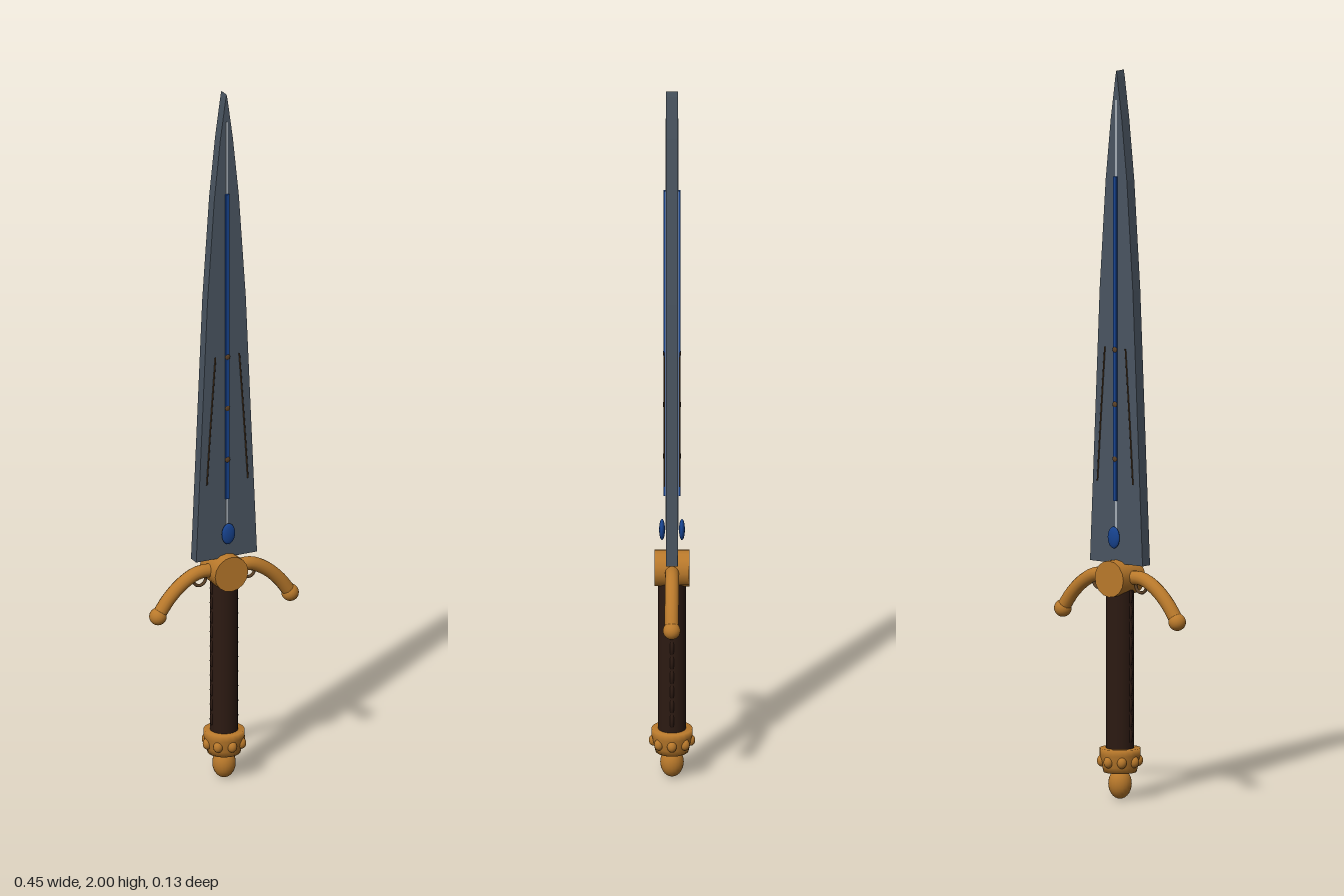
import * as THREE from 'three';

const material = (color) => new THREE.MeshStandardMaterial({ color });
const steel = material(0x4a5561), silver = material(0xa4adb5), gold = material(0xb9792b);
const bronze = material(0x5c4228), leather = material(0x2c1a12), blue = material(0x17438f);

export function createModel() {
  const model = new THREE.Group();

  const add = (name, geometry, mat, x = 0, y = 0, z = 0, parent = model) => {
    const mesh = new THREE.Mesh(geometry, mat);
    mesh.name = name;
    mesh.position.set(x, y, z);
    parent.add(mesh);
    return mesh;
  };
  const ellipsoid = (rx, ry, rz) => new THREE.SphereGeometry(1, 20, 14).scale(rx, ry, rz);

  // Flat blade tapering to a point
  const half = [[0.092, 0.648], [0.076, 1.0], [0.058, 1.4], [0.037, 1.7], [0.019, 1.87], [0.003, 1.985]];
  const outline = [
    ...half.map(([x, y]) => new THREE.Vector2(x, y)),
    new THREE.Vector2(0, 2),
    ...half.slice().reverse().map(([x, y]) => new THREE.Vector2(-x, y)),
  ];
  const bladeGeometry = new THREE.ExtrudeGeometry(new THREE.Shape(outline), { depth: 0.032, bevelEnabled: false });
  add('blade', bladeGeometry.translate(0, 0, -0.016), steel);
  add('bladeRidge', new THREE.BoxGeometry(0.006, 1.2, 0.035), silver, 0, 1.32);

  // Decoration on both faces of the blade
  for (const side of [1, -1]) {
    const face = new THREE.Group();
    face.name = side > 0 ? 'frontBladeDecoration' : 'backBladeDecoration';
    model.add(face);
    add('fullerInlay', new THREE.BoxGeometry(0.011, 0.89, 0.006), blue, 0, 1.265, side * 0.02, face);
    add('bladeGem', ellipsoid(0.02, 0.03, 0.008), blue, 0, 0.72, side * 0.027, face);
    for (const y of [0.935, 1.085, 1.235]) {
      add('inlayStud', ellipsoid(0.008, 0.008, 0.003), bronze, 0, y, side * 0.022, face);
    }
    for (const s of [1, -1]) {
      const line = new THREE.CatmullRomCurve3([
        new THREE.Vector3(s * 0.062, 0.87, side * 0.021),
        new THREE.Vector3(s * 0.05, 1.05, side * 0.021),
        new THREE.Vector3(s * 0.036, 1.24, side * 0.021),
      ]);
      add('engravedLine', new THREE.TubeGeometry(line, 16, 0.002, 6), bronze, 0, 0, 0, face);
    }
  }

  // Guard: round hub, two drooping arms with ball ends and small rings
  add('guardHub', new THREE.CylinderGeometry(0.05, 0.05, 0.094, 16).rotateX(Math.PI / 2), gold, 0, 0.608);
  for (const s of [1, -1]) {
    const arm = new THREE.CatmullRomCurve3(
      [[0.02, 0.61], [0.08, 0.61], [0.125, 0.588], [0.165, 0.552], [0.2, 0.505]]
        .map(([x, y]) => new THREE.Vector3(s * x, y, 0)));
    add('guardArm', new THREE.TubeGeometry(arm, 28, 0.019, 14), gold);
    add('guardBall', ellipsoid(0.024, 0.024, 0.024), gold, s * 0.2, 0.504);
    add('guardRing', new THREE.TorusGeometry(0.018, 0.0045, 8, 20), bronze, s * 0.074, 0.59);
  }

  // Grip with upright cord loops that scallop its sides
  add('grip', new THREE.CylinderGeometry(0.038, 0.038, 0.45, 24), leather, 0, 0.355);
  for (let i = 0; i < 10; i++) {
    add('gripLoop', new THREE.TorusGeometry(0.037, 0.006, 8, 24), leather, 0, 0.175 + i * 0.0425);
  }

  // Pommel: tapered collar, ring of beads and rounded finial
  const collar = [[0, 0.074], [0.045, 0.074], [0.049, 0.09], [0.056, 0.122], [0.056, 0.14], [0, 0.14]];
  add('pommelCollar', new THREE.LatheGeometry(collar.map(([r, y]) => new THREE.Vector2(r, y)), 20), gold);
  for (let i = 0; i < 8; i++) {
    const a = i * Math.PI / 4;
    add('pommelBead', ellipsoid(0.013, 0.016, 0.013), gold, 0.05 * Math.cos(a), 0.105, 0.05 * Math.sin(a));
  }
  add('pommelFinial', ellipsoid(0.032, 0.042, 0.032), gold, 0, 0.042);

  return model;
}
